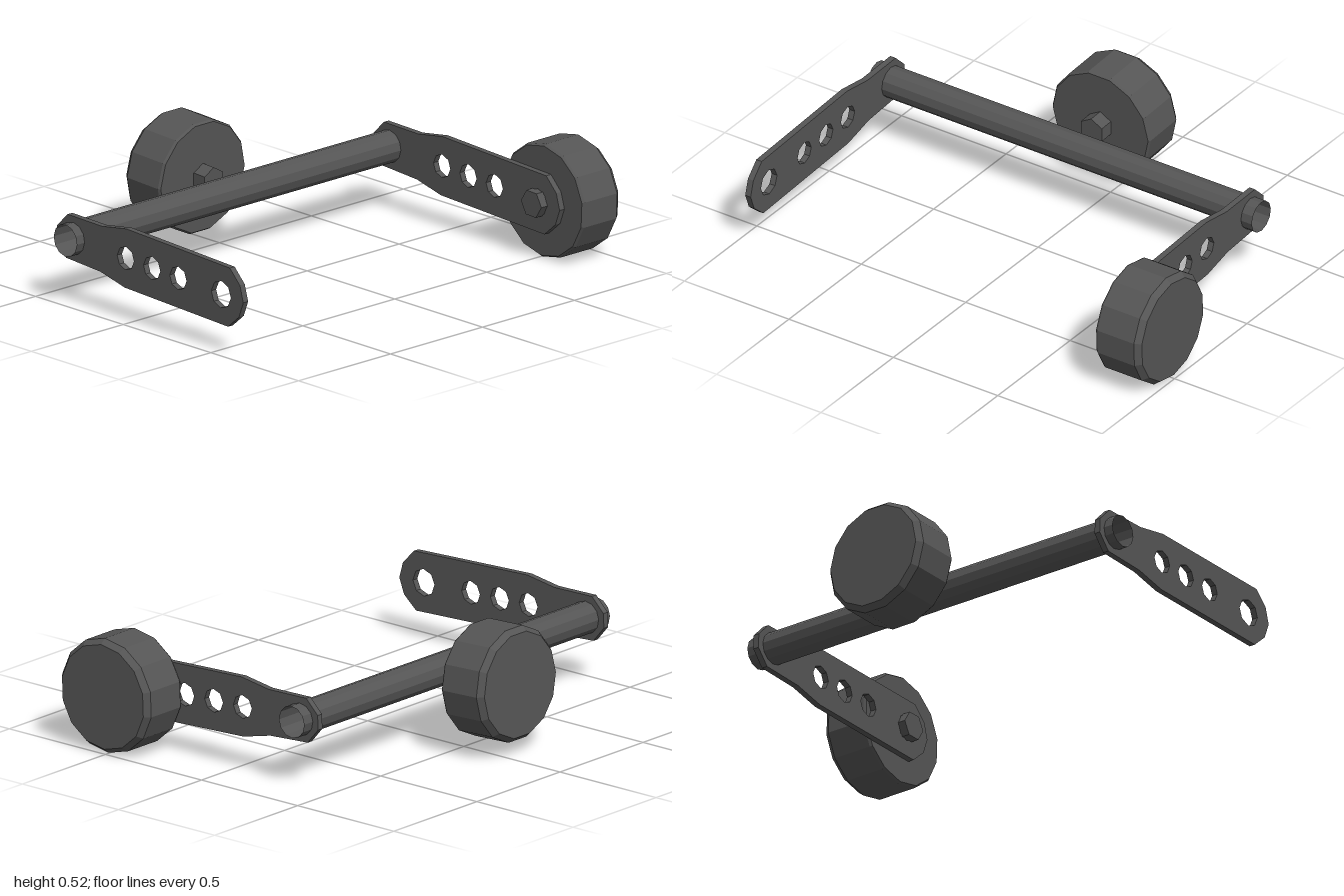
import * as THREE from 'three';

const TILT = -0.042;

export function createModel() {
  const model = new THREE.Group();
  const dark = new THREE.MeshStandardMaterial({ color: 0x555555, flatShading: true });
  const darkThin = new THREE.MeshStandardMaterial({ color: 0x555555, flatShading: true, side: THREE.DoubleSide });

  function add(parent, name, geometry, material = dark) {
    const mesh = new THREE.Mesh(geometry, material);
    mesh.name = name;
    parent.add(mesh);
    return mesh;
  }

  // Tilted frame centred on the cross tube; arms reach out along its +x
  const frame = new THREE.Group();
  frame.name = 'frame';
  frame.position.set(-0.33, 0.27, 0);
  frame.rotation.z = TILT;
  model.add(frame);

  // Open, hollow cross tube
  const tube = new THREE.CylinderGeometry(0.066, 0.066, 1.84, 12, 1, true);
  tube.rotateX(Math.PI / 2).translate(0, 0, 0.08);
  add(frame, 'crossTube', tube, darkThin);

  // Arm plate: symmetric outline with a tube hole, three small holes and a bolt hole
  const upper = [[-0.035, 0.091], [0.16, 0.095], [0.3, 0.1225], [0.89, 0.1225], [0.95, 0.066]];
  const lower = upper.map(([x, y]) => [x, -y]).reverse();
  const outline = [[-0.092, -0.03], [-0.092, 0.03], ...upper, [0.972, 0], ...lower];
  const plate = new THREE.Shape(outline.map(([x, y]) => new THREE.Vector2(x, y)));

  function cutHole(x, radius, sides) {
    const points = [];
    for (let i = 0; i < sides; i++) {
      const a = (i / sides) * Math.PI * 2;
      points.push(new THREE.Vector2(x + radius * Math.cos(a), radius * Math.sin(a)));
    }
    plate.holes.push(new THREE.Path(points));
  }
  cutHole(0, 0.066, 12);
  for (const x of [0.3, 0.45, 0.6]) cutHole(x, 0.048, 8);
  cutHole(0.845, 0.056, 8);

  const armGeometry = new THREE.ExtrudeGeometry(plate, { depth: 0.026, bevelEnabled: false });
  add(frame, 'frontArm', armGeometry).position.z = 0.932;
  add(frame, 'backArm', armGeometry).position.z = -0.788;

  // Wheel with its hex axle bolt, axis along +y from the outer face
  const profile = [[0, 0], [0.215, 0], [0.235, 0.025], [0.235, 0.2], [0.228, 0.21], [0, 0.21]]
    .map(([r, y]) => new THREE.Vector2(r, y));
  const wheelGeometry = new THREE.LatheGeometry(profile, 14);
  const boltGeometry = new THREE.CylinderGeometry(0.058, 0.058, 0.08, 6);
  boltGeometry.rotateY(Math.PI / 6).translate(0, 0.232, 0);

  function makeWheel(name) {
    const group = new THREE.Group();
    group.name = name;
    add(group, 'wheel', wheelGeometry);
    add(group, 'axleBolt', boltGeometry);
    return group;
  }

  // Wheel bolted to the back arm
  const backWheel = makeWheel('backWheel');
  backWheel.position.set(0.845, 0, -1);
  backWheel.rotation.x = Math.PI / 2;
  frame.add(backWheel);

  // Loose wheel beside the tube, facing sideways
  const sideWheel = makeWheel('sideWheel');
  sideWheel.position.set(-0.736, 0.288, 0.066);
  sideWheel.rotation.z = -Math.PI / 2 + TILT;
  model.add(sideWheel);

  return model;
}
